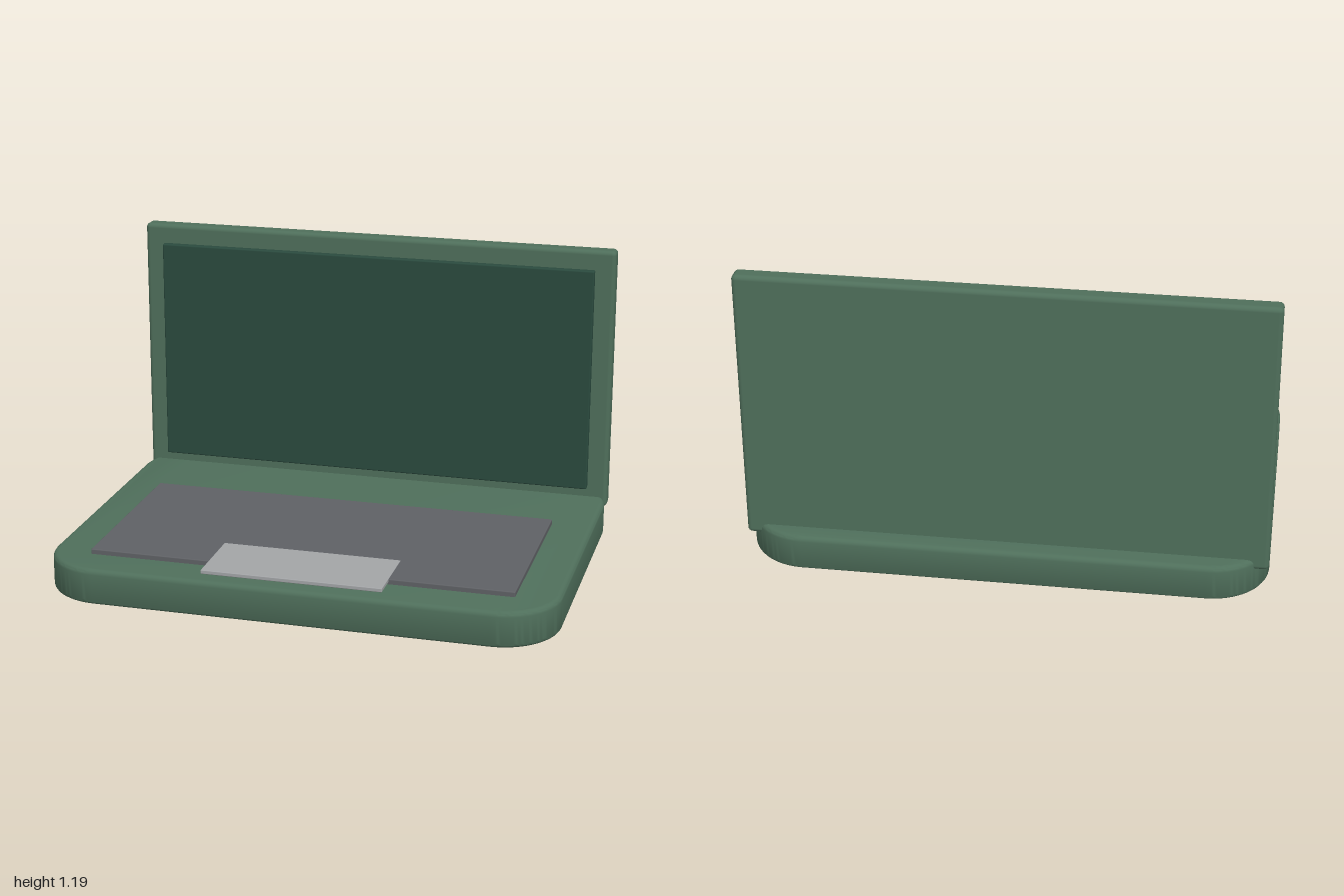
import * as THREE from 'three';
import { RoundedBoxGeometry } from 'three/addons/geometries/RoundedBoxGeometry.js';
import { toCreasedNormals } from 'three/addons/utils/BufferGeometryUtils.js';

const material = (color) => new THREE.MeshStandardMaterial({ color });
const green = material(0x4f6f5b);
const darkGreen = material(0x2a4a3e);
const darkGrey = material(0x5f6165);
const lightGrey = material(0xa3a5a7);

// Rounded slab given by its lower and upper corners
function slab(name, min, max, radius, mat) {
  const size = max.map((v, i) => v - min[i]);
  const mesh = new THREE.Mesh(new RoundedBoxGeometry(...size, 4, radius), mat);
  mesh.position.set(...max.map((v, i) => (v + min[i]) / 2));
  mesh.name = name;
  return mesh;
}

// Flat body with large rounded corners in plan and softened rims
function baseGeometry(halfX, halfZ, height, corner, bevel) {
  const x = halfX - bevel, z = halfZ - bevel, r = corner - bevel;
  const s = new THREE.Shape();
  s.absarc(x - r, z - r, r, 0, Math.PI / 2);
  s.absarc(-x + r, z - r, r, Math.PI / 2, Math.PI);
  s.absarc(-x + r, -z + r, r, Math.PI, Math.PI * 1.5);
  s.absarc(x - r, -z + r, r, Math.PI * 1.5, Math.PI * 2);
  s.closePath();
  const geometry = new THREE.ExtrudeGeometry(s, {
    depth: height - 2 * bevel, bevelEnabled: true, bevelSize: bevel,
    bevelThickness: bevel, bevelSegments: 4, curveSegments: 16,
  });
  geometry.rotateX(-Math.PI / 2).translate(0, bevel, 0);
  return toCreasedNormals(geometry, 0.6);
}

export function createModel() {
  const laptop = new THREE.Group();
  laptop.name = 'laptop';

  const base = new THREE.Mesh(baseGeometry(1, 0.733, 0.143, 0.23, 0.02), green);
  base.name = 'base';
  laptop.add(base);

  // Upright lid with the raised display in front of it
  laptop.add(slab('lid', [-1, 0.1, -0.655], [1, 1.19, -0.582], 0.018, green));
  laptop.add(slab('screen', [-0.918, 0.18, -0.6], [0.918, 1.11, -0.556], 0.006, darkGreen));

  // Keyboard panel and the touchpad overlapping its front edge
  laptop.add(slab('keyboard', [-0.834, 0.13, -0.22], [0.834, 0.163, 0.572], 0.004, darkGrey));
  laptop.add(slab('touchpad', [-0.353, 0.15, 0.38], [0.353, 0.166, 0.675], 0.003, lightGrey));

  return laptop;
}
